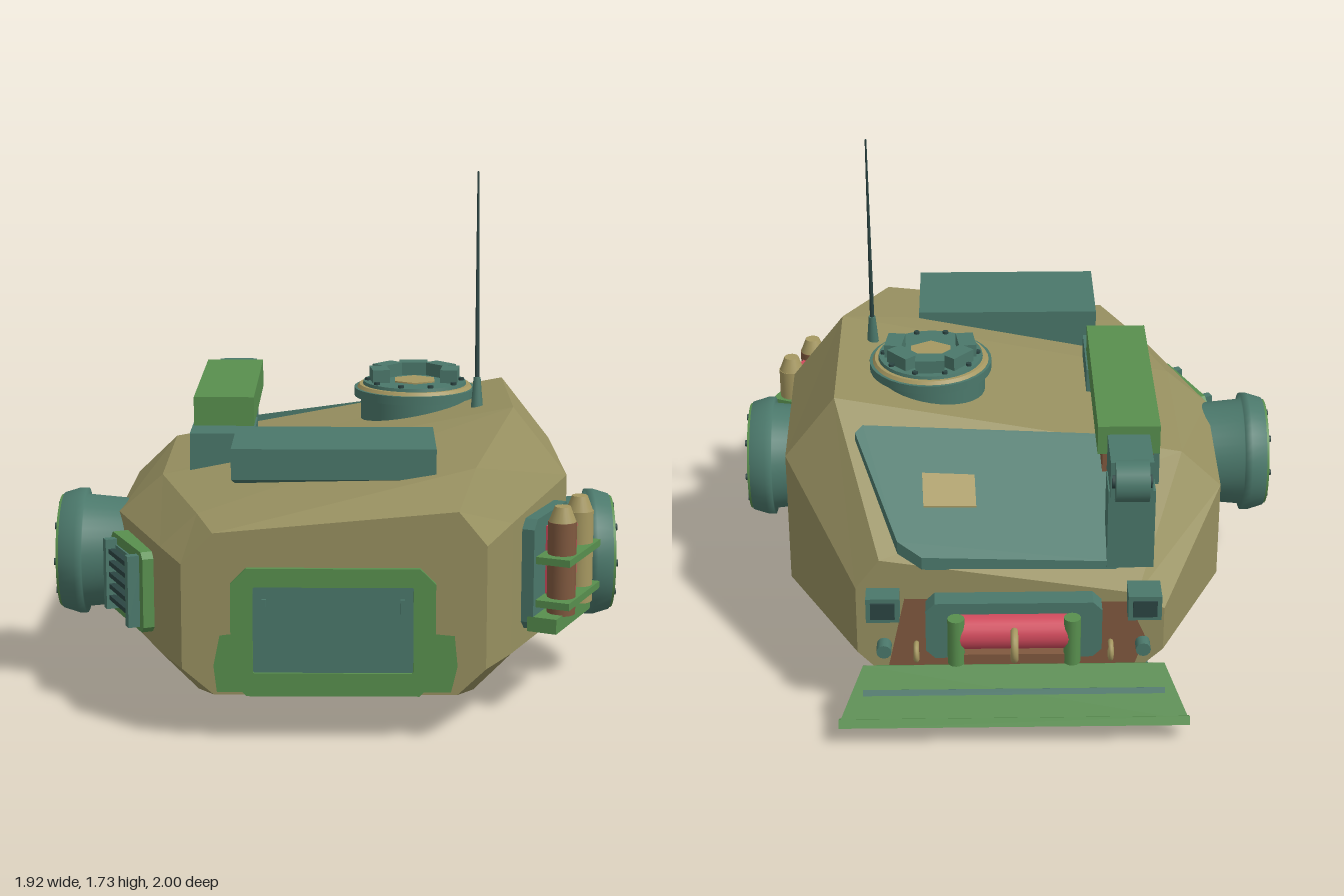
import * as THREE from 'three';

const make = (name, color) => new THREE.MeshStandardMaterial({ name, color, flatShading: false });
const tan = make('tan', 0x979060), teal = make('teal', 0x4b786b), green = make('green', 0x588f4e);
const brown = make('brown', 0x80593f), red = make('red', 0xd04a5c), sand = make('sand', 0xa69861);
const dark = make('dark', 0x2c4543);

export function createModel() {
  const model = new THREE.Group();
  model.name = 'turret';

  const add = (name, geo, mat, pos = [0, 0, 0], rot = [0, 0, 0], parent = model) => {
    const m = new THREE.Mesh(geo, mat);
    m.name = name;
    m.position.set(...pos);
    m.rotation.set(...rot);
    parent.add(m);
    return m;
  };
  // box given by its low and high corners
  const box = (name, mat, a, b, parent = model) =>
    add(name, new THREE.BoxGeometry(b[0] - a[0], b[1] - a[1], b[2] - a[2]), mat,
      a.map((v, i) => (v + b[i]) / 2), [0, 0, 0], parent);
  const cyl = (r1, r2, h, n = 24) => new THREE.CylinderGeometry(r1, r2, h, n);
  const group = (name, pos, ry = 0) => {
    const g = new THREE.Group();
    g.name = name;
    g.position.set(...pos);
    g.rotation.y = ry;
    model.add(g);
    return g;
  };
  const shapeOf = pts => new THREE.Shape(pts.map(p => new THREE.Vector2(...p)));
  const extrude = (shape, depth) => new THREE.ExtrudeGeometry(shape, { depth, bevelEnabled: false });
  const faces = tris => {
    const g = new THREE.BufferGeometry();
    g.setAttribute('position', new THREE.Float32BufferAttribute(tris.flat(), 3));
    g.computeVertexNormals();
    return g;
  };
  // flat painted patch, corners counter-clockwise from outside
  const patch = (name, mat, pts) => {
    const tris = [];
    for (let i = 1; i < pts.length - 1; i++) tris.push(pts[0], pts[i], pts[i + 1]);
    add(name, faces(tris), mat);
  };
  const rect = (x0, y0, x1, y1, c) => [[x0 + c, y0], [x1 - c, y0], [x1, y0 + c], [x1, y1 - c],
    [x1 - c, y1], [x0 + c, y1], [x0, y1 - c], [x0, y0 + c]];

  // Hull: eight-sided sections from front to back
  // z, left: top x/y, side x, upper y; bottom y, lower y; right: top x/y, side x, upper y
  const rings = [
    [0.98, -0.38, 0.68, -0.48, 0.58, 0.155, 0.24, 0.39, 0.75, 0.48, 0.64],
    [0.80, -0.44, 0.70, -0.56, 0.59, 0.115, 0.235, 0.45, 0.85, 0.57, 0.67],
    [0.32, -0.59, 0.72, -0.74, 0.59, 0.095, 0.235, 0.6, 0.955, 0.785, 0.72],
    [-0.3, -0.59, 0.725, -0.73, 0.59, 0.095, 0.235, 0.6, 0.945, 0.775, 0.72],
    [-0.8, -0.41, 0.47, -0.5, 0.41, 0.165, 0.25, 0.44, 0.605, 0.52, 0.5],
  ].map(([z, tx, ty, sx, sy, by, ly, rx, ry, qx, qy]) => [[tx, ty, z], [sx, sy, z], [sx, ly, z],
    [tx, by, z], [rx, by, z], [qx, ly, z], [qx, qy, z], [rx, ry, z]]);
  const tris = [];
  for (let r = 0; r < rings.length - 1; r++) for (let i = 0; i < 8; i++) {
    const j = (i + 1) % 8, A = rings[r], B = rings[r + 1];
    tris.push(A[i], B[i], A[j], A[j], B[i], B[j]);
  }
  const first = rings[0], last = rings[rings.length - 1];
  for (let i = 1; i < 7; i++) tris.push(first[0], first[i], first[i + 1], last[0], last[i + 1], last[i]);
  add('hull', faces(tris), tan);

  // Camouflage patches
  patch('rearBellyPatch', brown, [[-0.48, 0.123, -0.56], [-0.41, 0.161, -0.8], [0.43, 0.161, -0.8], [0.5, 0.123, -0.56]]);
  patch('rearPatch', brown, [[0.42, 0.18, -0.804], [-0.4, 0.18, -0.804], [-0.44, 0.3, -0.804], [-0.38, 0.44, -0.804], [0.36, 0.46, -0.804]]);
  patch('sidePatch', brown, [[0.789, 0.26, 0.1], [0.789, 0.29, 0.01], [0.789, 0.36, 0], [0.789, 0.4, 0.04], [0.789, 0.4, 0.1]]);
  patch('frontPatchLeft', green, [[0.28, 0.165, 0.984], [0.37, 0.165, 0.984], [0.39, 0.25, 0.984], [0.38, 0.35, 0.984], [0.28, 0.36, 0.984]]);
  patch('frontPatchRight', green, [[-0.28, 0.36, 0.984], [-0.36, 0.35, 0.984], [-0.38, 0.25, 0.984], [-0.37, 0.165, 0.984], [-0.28, 0.165, 0.984]]);

  // Turret ring below
  add('turretRing', cyl(0.235, 0.235, 0.1, 40), teal, [0, 0.07, 0.2]);
  add('turretRingFlange', cyl(0.25, 0.25, 0.025, 40), brown, [0, 0.026, 0.2]);
  add('turretRingBase', cyl(0.245, 0.245, 0.014, 40), green, [0, 0.007, 0.2]);

  // Side drums with bolted discs
  for (const s of [1, -1]) {
    const g = group(s > 0 ? 'leftDrum' : 'rightDrum', [0, 0.43, 0.23]);
    g.rotation.z = -s * Math.PI / 2;
    const prof = [[0.18, 0.7], [0.195, 0.86], [0.217, 0.86], [0.217, 0.885], [0.2, 0.94], [0.19, 0.94]];
    const body = new THREE.LatheGeometry(prof.map(p => new THREE.Vector2(...p)), 40);
    add('drumBody', body, teal, [0, 0, 0], [0, 0, 0], g);
    add('drumDisc', cyl(0.193, 0.2, 0.03, 40), green, [0, 0.934, 0], [0, 0, 0], g);
    add('drumHub', cyl(0.057, 0.057, 0.008, 8), sand, [0, 0.949, 0], [0, 0, 0], g);
    for (let i = 0; i < 8; i++) {
      const a = i * Math.PI / 4;
      add('drumBolt', cyl(0.012, 0.012, 0.016, 8), dark, [0.16 * Math.cos(a), 0.95, 0.16 * Math.sin(a)], [0, 0, 0], g);
    }
  }

  // Front panel: green frame around a teal plate
  const frame = shapeOf(rect(-0.325, 0.155, 0.32, 0.57, 0.05));
  frame.holes.push(new THREE.Path(rect(-0.255, 0.23, 0.25, 0.51, 0.004).map(p => new THREE.Vector2(...p))));
  add('frontFrame', extrude(frame, 0.03), green, [0, 0, 0.967]);
  box('frontPlate', teal, [-0.26, 0.225, 0.96], [0.255, 0.515, 0.988]);
  for (const x of [-0.22, 0.215]) box('frontHandle', teal, [x - 0.007, 0.27, 0.985], [x + 0.007, 0.47, 0.998]);

  // Wedge box on the front of the roof
  const wedge = extrude(shapeOf([[-0.8, 0.81], [-0.44, 0.71], [-0.44, 0.91], [-0.8, 0.91]]), 0.655);
  add('roofBox', wedge, teal, [-0.33, 0, 0], [0, Math.PI / 2, 0]);

  // Commander hatch
  const hatch = group('hatch', [0.275, 0, -0.04]);
  add('hatchCollar', cyl(0.19, 0.19, 0.14, 36), teal, [0, 0.87, 0], [0, 0, 0], hatch);
  add('hatchFlange', cyl(0.213, 0.213, 0.03, 36), teal, [0, 0.945, 0], [0, 0, 0], hatch);
  add('hatchTrim', cyl(0.195, 0.205, 0.014, 36), sand, [0, 0.964, 0], [0, 0, 0], hatch);
  add('hatchLid', cyl(0.18, 0.185, 0.02, 36), teal, [0, 0.972, 0], [0, 0, 0], hatch);
  add('hatchPatch', cyl(0.08, 0.08, 0.006, 6), sand, [0, 0.984, 0.01], [0, 0, 0], hatch);
  for (let i = -2; i <= 2; i++) {
    const a = i * 0.85;
    add('periscope', new THREE.BoxGeometry(0.1, 0.05, 0.06), teal,
      [0.125 * Math.sin(a), 1.003, -0.125 * Math.cos(a)], [0, -a, 0], hatch);
  }
  for (let i = 0; i < 10; i++) {
    const a = i * Math.PI / 5;
    add('hatchBolt', cyl(0.01, 0.01, 0.012, 8), dark, [0.165 * Math.cos(a), 0.985, 0.165 * Math.sin(a)], [0, 0, 0], hatch);
  }

  // Antenna leaning backwards
  const ant = group('antenna', [0.485, 0.9, 0.177]);
  ant.rotation.x = -0.11;
  add('antennaBase', cyl(0.012, 0.024, 0.14, 12), teal, [0, 0.06, 0], [0, 0, 0], ant);
  add('antennaRod', cyl(0.003, 0.008, 0.74, 8), dark, [0, 0.465, 0], [0, 0, 0], ant);

  // Long arm on the right of the roof
  box('armCover', green, [-0.49, 0.862, -0.56], [-0.283, 0.965, 0.205]);
  box('armBody', brown, [-0.47, 0.79, -0.55], [-0.3, 0.865, 0.2]);
  box('armFrontBox', teal, [-0.495, 0.69, 0.05], [-0.277, 0.865, 0.335]);
  box('armMidBox', teal, [-0.497, 0.7, -0.48], [-0.46, 0.86, -0.38]);
  box('armNeck', teal, [-0.455, 0.8, -0.75], [-0.315, 0.935, -0.55]);
  add('armPivot', cyl(0.07, 0.07, 0.11), teal, [-0.385, 0.867, -0.745], [0, 0, Math.PI / 2]);
  add('armPivotPin', cyl(0.025, 0.025, 0.13, 12), dark, [-0.385, 0.867, -0.745], [0, 0, Math.PI / 2]);
  box('armStand', teal, [-0.465, 0.53, -0.735], [-0.31, 0.82, -0.6]);

  // Sloping rear plate, sheared onto the hull slope
  const slope = (x, z, lift = 0) => 1.012 + 0.181 * x + 0.575 * z + lift;
  const sheared = (pts, thick, lift) => {
    const g = extrude(shapeOf(pts.map(([x, z]) => [x, -z])), thick).rotateX(-Math.PI / 2);
    const p = g.attributes.position;
    for (let i = 0; i < p.count; i++) p.setY(i, p.getY(i) + slope(p.getX(i), p.getZ(i), lift));
    g.computeVertexNormals();
    return g;
  };
  add('rearPlate', sheared([[-0.47, -0.3], [-0.44, -0.29], [0.5, -0.4], [0.525, -0.43], [0.38, -0.77],
    [0.3, -0.81], [-0.34, -0.73], [-0.41, -0.69]], 0.045, -0.025), teal);
  add('rearPlatePatch', sheared([[0.125, -0.515], [0.3, -0.535], [0.295, -0.645], [0.12, -0.62]], 0.006, 0.019), sand);

  // Bottle rack on the left front corner
  const rack = group('bottleRack', [0.67, 0.48, 0.56], 1.144);
  add('rackPlate', extrude(shapeOf(rect(-0.17, -0.19, 0.17, 0.18, 0.03)), 0.05), teal, [0, 0, 0], [0, 0, 0], rack);
  box('rackBase', green, [-0.17, -0.19, 0.03], [0.17, -0.14, 0.13], rack);
  for (const [x, mat] of [[-0.07, brown], [0.1, sand]]) {
    add('bottle', cyl(0.047, 0.047, 0.31, 20), mat, [x, 0.01, 0.11], [0, 0, 0], rack);
    add('bottleNeck', cyl(0.026, 0.045, 0.05, 20), sand, [x, 0.19, 0.11], [0, 0, 0], rack);
  }
  box('redCanister', red, [-0.06, -0.12, 0.05], [0.02, 0.14, 0.13], rack);
  for (const y of [-0.1, 0.045]) box('rackStrap', green, [-0.15, y - 0.012, 0.05], [0.16, y + 0.012, 0.165], rack);

  // Ladder rack on the right front corner
  const ladder = group('ladderRack', [-0.635, 0.415, 0.56], -1.165);
  add('ladderFrame', extrude(shapeOf(rect(-0.17, -0.135, 0.17, 0.135, 0.02)), 0.06), green, [0, 0, 0], [0, 0, 0], ladder);
  box('ladderPanel', teal, [-0.13, -0.1, 0.05], [0.13, 0.1, 0.066], ladder);
  for (const x of [-0.12, 0.12]) box('ladderRail', teal, [x - 0.015, -0.12, 0.05], [x + 0.015, 0.12, 0.1], ladder);
  for (let i = 0; i < 5; i++) box('ladderRung', dark, [-0.12, -0.088 + i * 0.04, 0.07], [0.12, -0.072 + i * 0.04, 0.09], ladder);

  // Rear blade and its arms
  const blade = group('blade', [0, 0.145, -0.905]);
  blade.rotation.x = 0.57;
  add('bladePlate', extrude(shapeOf([[-0.58, -0.09], [0.58, -0.09], [0.5, 0.1], [-0.5, 0.1]]), 0.04), green, [0, 0, -0.02], [0, 0, 0], blade);
  box('bladeLip', green, [-0.58, -0.105, -0.035], [0.58, -0.075, 0.025], blade);
  box('bladeRib', teal, [-0.5, 0.0, -0.026], [0.5, 0.02, -0.019], blade);
  for (const x of [-0.43, 0.43]) {
    add('bladeArm', cyl(0.025, 0.025, 0.26, 12), teal, [x, 0.165, -0.77], [Math.PI / 2, 0, 0]);
    add('bladeJoint', cyl(0.035, 0.035, 0.08, 12), green, [x, 0.165, -0.83], [0, 0, Math.PI / 2]);
    // Rear lamps
    box('lampHousing', teal, [x - 0.055, 0.41, -0.87], [x + 0.055, 0.5, -0.77]);
    box('lampGuard', dark, [x - 0.04, 0.425, -0.876], [x + 0.04, 0.485, -0.865]);
    add('lampBracket', cyl(0.025, 0.025, 0.06, 12), teal, [x, 0.28, -0.82], [Math.PI / 2, 0, 0]);
  }

  // Rear box with red roll and towing rings
  add('rearBox', extrude(shapeOf(rect(-0.29, 0.27, 0.29, 0.48, 0.03)), 0.08), teal, [0, 0, -0.87]);
  add('redRoll', cyl(0.06, 0.06, 0.36, 20), red, [0, 0.38, -0.875], [0, 0, Math.PI / 2]);
  box('rollShelf', brown, [-0.2, 0.285, -0.92], [0.2, 0.315, -0.86]);
  for (const x of [-0.19, 0.19]) {
    add('rollPost', cyl(0.028, 0.028, 0.17, 12), green, [x, 0.365, -0.91]);
    add('lowerRing', new THREE.TorusGeometry(0.028, 0.009, 8, 20), sand, [x * 1.7, 0.265, -0.825], [0, Math.PI / 2, 0]);
  }
  add('towRing', new THREE.TorusGeometry(0.046, 0.013, 10, 28), sand, [0, 0.365, -0.941], [0, Math.PI / 2, 0]);

  return model;
}
